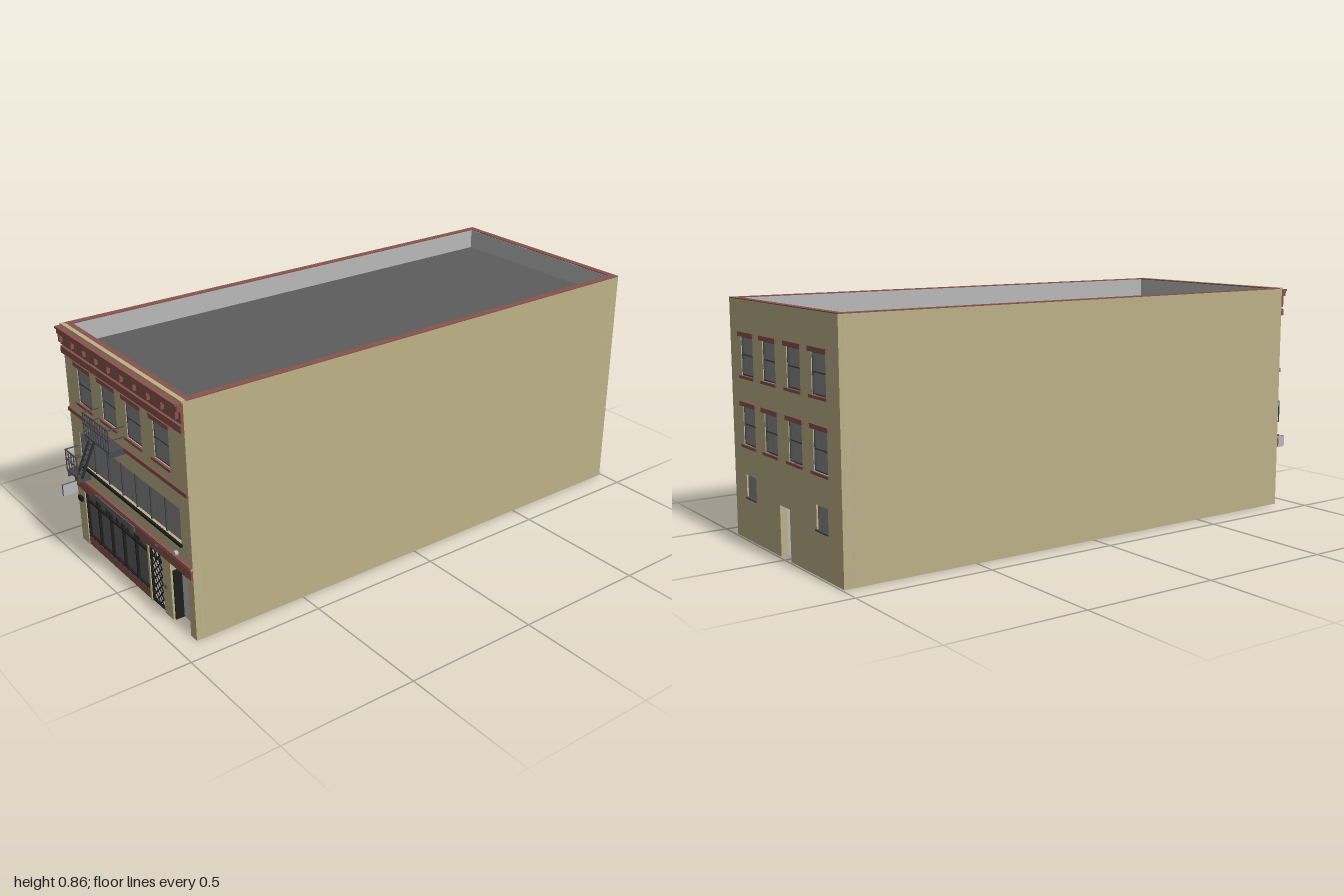
import * as THREE from 'three';

const mat = (name, color) => {
  const m = new THREE.MeshStandardMaterial({ color });
  m.name = name;
  return m;
};
const tan = mat('tan wall', 0xbdb187);
const red = mat('brick red trim', 0x88534d);
const roofGrey = mat('dark grey', 0x5d5d5d);
const light = mat('light grey', 0xb9b9b9);
const glass = mat('window glass', 0x868788);
const iron = mat('iron grey', 0x484a4f);
const black = mat('black metal', 0x1e1e1e);

const W = 0.411, H = 0.855, FRONT = 0.925, BACK = -0.992, T = 0.025;
const WIN_X = [-0.27, -0.094, 0.077, 0.258];

function mesh(parent, name, geometry, material) {
  const m = new THREE.Mesh(geometry, material);
  m.name = name;
  parent.add(m);
  return m;
}
// Box given by its limits on each axis
function box(parent, name, material, x0, x1, y0, y1, z0, z1) {
  const m = mesh(parent, name, new THREE.BoxGeometry(x1 - x0, y1 - y0, z1 - z0), material);
  m.position.set((x0 + x1) / 2, (y0 + y1) / 2, (z0 + z1) / 2);
  return m;
}
// Flat bar between two points in the xy plane
function bar(parent, name, material, xa, ya, xb, yb, width, z, depth) {
  const m = mesh(parent, name, new THREE.BoxGeometry(Math.hypot(xb - xa, yb - ya), width, depth), material);
  m.position.set((xa + xb) / 2, (ya + yb) / 2, z);
  m.rotation.z = Math.atan2(yb - ya, xb - xa);
  return m;
}
function group(parent, name) {
  const g = new THREE.Group();
  g.name = name;
  parent.add(g);
  return g;
}
// Upright slab with door notches [x0, x1, top] and window holes [x0, x1, y0, y1]
function slab(parent, name, material, notches, holes, z0, z1) {
  const s = new THREE.Shape();
  s.moveTo(-W, 0);
  for (const [x0, x1, h] of notches) {
    s.lineTo(x0, 0); s.lineTo(x0, h); s.lineTo(x1, h); s.lineTo(x1, 0);
  }
  s.lineTo(W, 0); s.lineTo(W, H); s.lineTo(-W, H);
  for (const [x0, x1, y0, y1] of holes) {
    const p = new THREE.Path();
    p.moveTo(x0, y0); p.lineTo(x0, y1); p.lineTo(x1, y1); p.lineTo(x1, y0);
    s.holes.push(p);
  }
  mesh(parent, name, new THREE.ExtrudeGeometry(s, { depth: z1 - z0, bevelEnabled: false }), material).position.z = z0;
}
const sashHole = (x, y) => [x - 0.049, x + 0.049, y, y + 0.137];

// Sash window with lintel and sill; wall face at z = 0
function sash(parent, x, y, out) {
  const g = group(parent, 'sashWindow');
  const [x0, x1, y0, y1] = sashHole(x, y);
  box(g, 'pane', glass, x0, x1, y0, y1, -0.014, -0.01);
  for (const [a, b] of [[x0, x0 + 0.004], [x1 - 0.004, x1]]) box(g, 'stile', iron, a, b, y0, y1, -0.016, -0.003);
  for (const c of [y0, y0 + 0.07, y1 - 0.004]) box(g, 'rail', iron, x0, x1, c, c + 0.005, -0.016, -0.004);
  box(g, 'lintel', red, x - 0.063, x + 0.063, y1, y1 + 0.016, -0.005, out);
  box(g, 'sill', red, x - 0.061, x + 0.061, y0 - 0.01, y0, -0.005, out);
}
// Light lining and back panel of a doorway
function recess(parent, x0, x1, top, depth) {
  const g = group(parent, 'doorRecess');
  box(g, 'doorPanel', light, x0, x1, 0, top, -depth - 0.004, -depth);
  for (const x of [x0 - 0.003, x1]) box(g, 'reveal', light, x, x + 0.003, 0, top, -depth - 0.004, -T);
  box(g, 'soffit', light, x0, x1, top, top + 0.003, -depth - 0.004, -T);
}
// Railed landing with wall brackets
function landing(parent, x0, x1, y, depth, n) {
  const g = group(parent, 'landing');
  const r = 0.0035;
  box(g, 'deck', iron, x0, x1, y - 0.006, y, 0, depth);
  for (const x of [x0 + 0.007, x1 - 0.011]) box(g, 'bracket', iron, x, x + 0.004, y - 0.026, y, 0, depth);
  for (const h of [0.039, 0.077]) {
    box(g, 'frontRail', iron, x0, x1, y + h, y + h + r, depth - r, depth);
    for (const x of [x0, x1 - r]) box(g, 'sideRail', iron, x, x + r, y + h, y + h + r, 0, depth);
  }
  for (let i = 0; i <= n; i++) {
    const x = x0 + (x1 - x0 - r) * i / n;
    const w = i % n ? 0.0024 : r;
    box(g, 'baluster', iron, x, x + w, y, y + 0.078, depth - r, depth);
  }
}

function buildFront(root) {
  const f = group(root, 'frontFacade');
  f.position.z = FRONT;
  const holes = WIN_X.map(x => sashHole(x, 0.59));
  holes.push([-0.35, 0.35, 0.337, 0.465]);
  const gate = [0.115, 0.205, 0.232], door = [0.26, 0.374, 0.232];
  slab(f, 'frontWall', tan, [[-0.357, 0.105, 0.232], gate, door], holes, -T, 0);
  slab(f, 'frontLining', light, [gate, door], holes, -T - 0.002, -T);
  for (const x of WIN_X) sash(f, x, 0.59, 0.008);

  // Cornice, brackets and bands
  box(f, 'topStrip', tan, -W, W, 0.852, 0.859, -0.01, 0.006);
  box(f, 'corniceTop', red, -W, W, 0.846, 0.853, 0, 0.028);
  box(f, 'corniceUpper', red, -W, W, 0.826, 0.846, 0, 0.022);
  box(f, 'corniceLower', red, -W, W, 0.784, 0.826, 0, 0.01);
  for (let i = 0; i < 10; i++) {
    const x = -0.395 + i * 0.0877;
    box(f, 'corniceBracket', red, x - 0.0055, x + 0.0055, 0.799, 0.826, 0.01, 0.022);
  }
  box(f, 'corniceBand', red, -W, W, 0.752, 0.777, 0, 0.012);
  box(f, 'middleBand', red, -W, W, 0.529, 0.544, 0, 0.007);
  box(f, 'shopMoulding', red, -W, W, 0.274, 0.28, 0, 0.012);
  box(f, 'shopStrip', tan, -W, W, 0.267, 0.274, 0, 0.006);
  box(f, 'shopFascia', red, -W, W, 0.232, 0.267, 0, 0.008);
  box(f, 'fasciaPanel', roofGrey, -0.246, 0.042, 0.241, 0.26, 0.008, 0.013);
  for (const x of [-0.205, 0, 0.205]) box(f, 'fasciaLamp', iron, x - 0.006, x + 0.006, 0.265, 0.271, 0, 0.022);

  // Long window row
  const row = group(f, 'windowRow');
  box(row, 'pane', glass, -0.35, 0.35, 0.337, 0.465, -0.014, -0.01);
  for (let i = 0; i <= 7; i++) {
    const x = -0.348 + i * 0.0994;
    box(row, 'mullion', iron, x - 0.002, x + 0.002, 0.337, 0.465, -0.016, -0.003);
  }
  box(row, 'head', iron, -0.35, 0.35, 0.462, 0.465, -0.016, -0.003);
  box(row, 'sill', black, -0.355, 0.357, 0.328, 0.337, -0.01, 0.008);

  // Shop window
  const shop = group(f, 'shopWindow');
  box(shop, 'shopGlass', roofGrey, -0.357, 0.105, 0.036, 0.232, -0.02, -0.014);
  box(shop, 'shopBase', red, -0.357, 0.105, 0, 0.036, -0.024, -0.003);
  for (const y of [0.036, 0.186]) box(shop, 'shopRail', black, -0.357, 0.105, y - 0.002, y + 0.004, -0.02, -0.004);
  for (let i = 0; i <= 5; i++) {
    const x = -0.3545 + i * 0.0914;
    box(shop, 'shopMullion', black, x - 0.0025, x + 0.0025, 0.036, 0.232, -0.02, -0.004);
  }
  for (let i = 1; i < 6; i++) {
    const x = -0.357 + i * 0.077;
    box(shop, 'transomBar', black, x - 0.0015, x + 0.0015, 0.188, 0.232, -0.02, -0.006);
  }

  // Lattice gate
  const g = group(f, 'latticeGate');
  recess(g, 0.115, 0.205, 0.232, 0.035);
  box(g, 'transomGlass', roofGrey, 0.115, 0.205, 0.187, 0.232, -0.03, -0.026);
  for (const x of [0.115, 0.201]) box(g, 'gatePost', black, x, x + 0.004, 0, 0.232, -0.012, -0.004);
  for (const y of [0.003, 0.185, 0.228]) box(g, 'gateRail', black, 0.115, 0.205, y, y + 0.004, -0.012, -0.004);
  const w = 0.086, h = 0.228, k = 1.15;
  for (let c = -0.195; c < w; c += 0.026) {
    const u0 = Math.max(0, c), u1 = Math.min(w, c + h / k);
    if (u1 - u0 < 0.004) continue;
    for (const s of [1, -1]) {
      const px = u => 0.16 + s * (u - w / 2);
      bar(g, 'latticeBar', black, px(u0), 0.003 + (u0 - c) * k, px(u1), 0.003 + (u1 - c) * k, 0.0042, -0.008 + s * 0.001, 0.002);
    }
  }

  // Front door
  const d = group(f, 'frontDoor');
  recess(d, 0.26, 0.374, 0.232, 0.04);
  box(d, 'transomGlass', roofGrey, 0.26, 0.374, 0.19, 0.232, -0.036, -0.03);
  box(d, 'transomRail', black, 0.26, 0.374, 0.186, 0.193, -0.037, -0.026);
  box(d, 'transomBar', black, 0.3155, 0.3175, 0.19, 0.232, -0.036, -0.028);
  box(d, 'jamb', black, 0.26, 0.265, 0, 0.19, -0.04, -0.008);

  // Wall fittings
  box(f, 'entryBox', roofGrey, 0.227, 0.239, 0.112, 0.127, 0, 0.008);
  box(f, 'wallPlaque', black, -0.396, -0.368, 0.175, 0.193, 0, 0.01);
  const disc = mesh(f, 'wallDisc', new THREE.CylinderGeometry(0.009, 0.009, 0.012, 20), light);
  disc.rotation.x = Math.PI / 2;
  disc.position.set(0.316, 0.289, 0.006);
  box(f, 'bladeSign', [light, light, roofGrey, roofGrey, roofGrey, roofGrey], -0.379, -0.37, 0.22, 0.264, 0.02, 0.075);
  box(f, 'bladeSignArm', iron, -0.376, -0.373, 0.256, 0.26, 0, 0.02);

  // Fire escape
  const e = group(f, 'fireEscape');
  landing(e, -0.173, 0.01, 0.544, 0.063, 10);
  landing(e, -0.369, -0.28, 0.325, 0.054, 4);
  for (const dx of [0, 0.034]) bar(e, 'ladderRail', iron, -0.304 + dx, 0.325, -0.163 + dx, 0.54, 0.008, 0.042, 0.006);
  for (let i = 0; i < 8; i++) {
    const t = (i + 0.5) / 8;
    const x = -0.304 + 0.141 * t, y = 0.325 + 0.215 * t;
    box(e, 'ladderRung', iron, x, x + 0.034, y - 0.002, y + 0.002, 0.039, 0.045);
  }
}

function buildBack(root) {
  const b = group(root, 'rearFacade');
  b.position.z = BACK;
  b.rotation.y = Math.PI;
  const xs = [-0.273, -0.094, 0.093, 0.273];
  const holes = [];
  for (const x of xs) for (const y of [0.59, 0.345]) {
    holes.push(sashHole(x, y));
    sash(b, x, y, 0.007);
  }
  for (const x of [-0.273, 0.273]) {
    holes.push([x - 0.041, x + 0.041, 0.155, 0.237]);
    box(b, 'smallPane', glass, x - 0.041, x + 0.041, 0.155, 0.237, -0.01, -0.006);
    box(b, 'smallSill', iron, x - 0.043, x + 0.043, 0.151, 0.156, -0.008, 0.005);
  }
  const door = [-0.042, 0.036, 0.18];
  slab(b, 'rearWall', tan, [door], holes, -T, 0);
  slab(b, 'rearLining', light, [door], holes, -T - 0.002, -T);
  recess(b, ...door, 0.035);
}

export function createModel() {
  const root = new THREE.Group();
  root.name = 'townBuilding';
  buildFront(root);
  buildBack(root);

  // Side walls, light on the inside, with red coping
  const z0 = BACK + T, z1 = FRONT - T;
  for (const s of [-1, 1]) {
    const skin = [s > 0 ? tan : light, s > 0 ? light : tan, tan, tan, tan, tan];
    const a = s > 0 ? W - T : -W;
    box(root, 'sideWall', skin, a, a + T, 0, H, z0, z1);
    box(root, 'sideCoping', red, a, a + T, H, H + 0.003, BACK, FRONT - 0.01);
  }
  box(root, 'rearCoping', red, -W + T, W - T, H, H + 0.003, BACK, z0);
  box(root, 'frontCoping', red, -W + T, W - T, H, H + 0.003, z1 - 0.006, FRONT - 0.01);

  // Roof deck below the parapet
  box(root, 'roofDeck', [light, light, roofGrey, light, light, light], -W + T, W - T, 0.765, 0.78, z0, z1);
  return root;
}
